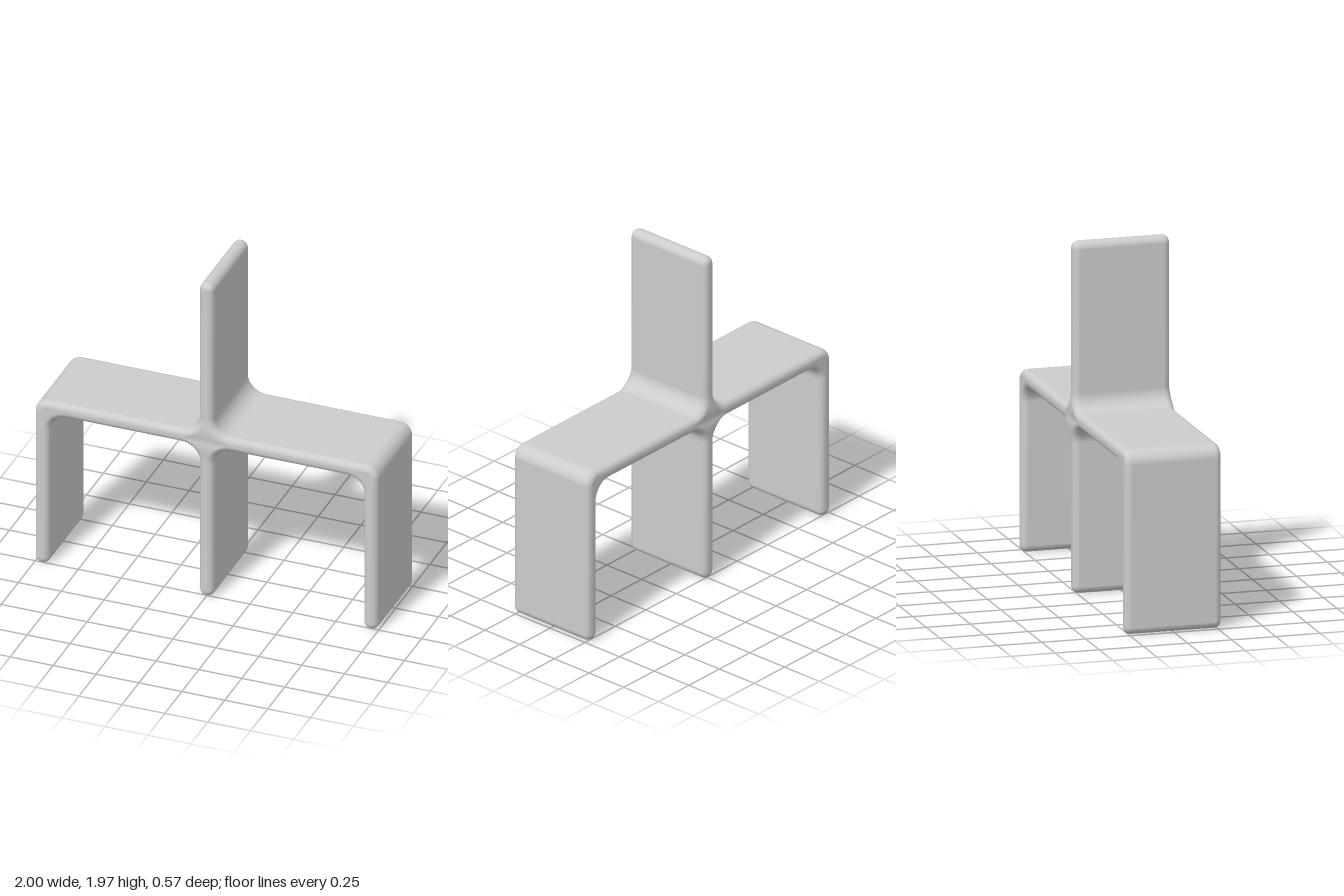
import * as THREE from 'three';
import { mergeVertices } from 'three/addons/utils/BufferGeometryUtils.js';

const ROUND = 0.035;          // rounding of every panel edge
const HALF = 0.0425 - ROUND;  // half thickness of a panel before rounding
const SEAT_Y = 0.987, LEG_X = 0.9575, TOP = 1.97, BOTTOM = 0.005;

// Outline of right-angled corners [x, y, radius], each replaced by an arc
function roundedOutline(corners, segments = 8) {
  const pts = [];
  corners.forEach(([x, y, r], i) => {
    const p = new THREE.Vector2(x, y);
    const prev = corners.at(i - 1), next = corners[(i + 1) % corners.length];
    const d1 = p.clone().sub(new THREE.Vector2(prev[0], prev[1])).normalize();
    const d2 = new THREE.Vector2(next[0], next[1]).sub(p).normalize();
    const centre = p.clone().addScaledVector(d1, -r).addScaledVector(d2, r);
    for (let k = 0; k <= segments; k++) {
      const t = (k / segments) * Math.PI / 2;
      pts.push(centre.clone()
        .addScaledVector(d2, -r * Math.cos(t))
        .addScaledVector(d1, r * Math.sin(t)));
    }
  });
  return new THREE.Shape(pts);
}

function panelGeometry() {
  const tip = HALF * 0.96, fillet = 0.13, shoulder = 0.04;
  const low = BOTTOM + ROUND, high = TOP - ROUND;
  const under = SEAT_Y - HALF, over = SEAT_Y + HALF;
  // Right half, from the bottom of the middle leg round to the top of the back panel
  const half = [
    [HALF, low, tip],
    [HALF, under, fillet],
    [LEG_X - HALF, under, fillet],
    [LEG_X - HALF, low, tip],
    [LEG_X + HALF, low, tip],
    [LEG_X + HALF, over, shoulder],
    [HALF, over, fillet],
    [HALF, high, tip],
  ];
  const mirrored = half.map(([x, y, r]) => [-x, y, r]).reverse();
  const depth = 0.47;
  let geo = new THREE.ExtrudeGeometry(roundedOutline([...half, ...mirrored]), {
    depth, bevelEnabled: true, bevelSize: ROUND, bevelThickness: 0.038, bevelSegments: 6,
  });
  geo.translate(0, 0, -depth / 2);

  // Slight swelling of the edges where the panels cross
  const pos = geo.attributes.position;
  for (let i = 0; i < pos.count; i++) {
    const d = Math.hypot(pos.getX(i), pos.getY(i) - SEAT_Y);
    const swell = 0.025 * Math.max(0, 1 - d / 0.18) ** 2;
    pos.setZ(i, pos.getZ(i) + Math.sign(pos.getZ(i)) * swell);
  }

  // Weld for smooth normals
  geo.deleteAttribute('uv');
  geo.deleteAttribute('normal');
  geo.clearGroups();
  geo = mergeVertices(geo, 1e-5);
  geo.computeVertexNormals();
  return geo;
}

export function createModel() {
  const group = new THREE.Group();
  group.name = 'crossedPanelBench';
  const grey = new THREE.MeshStandardMaterial({ color: 0xcccccc });
  grey.name = 'lightGrey';
  const body = new THREE.Mesh(panelGeometry(), grey);
  body.name = 'seatLegsAndUpright';
  group.add(body);
  return group;
}
